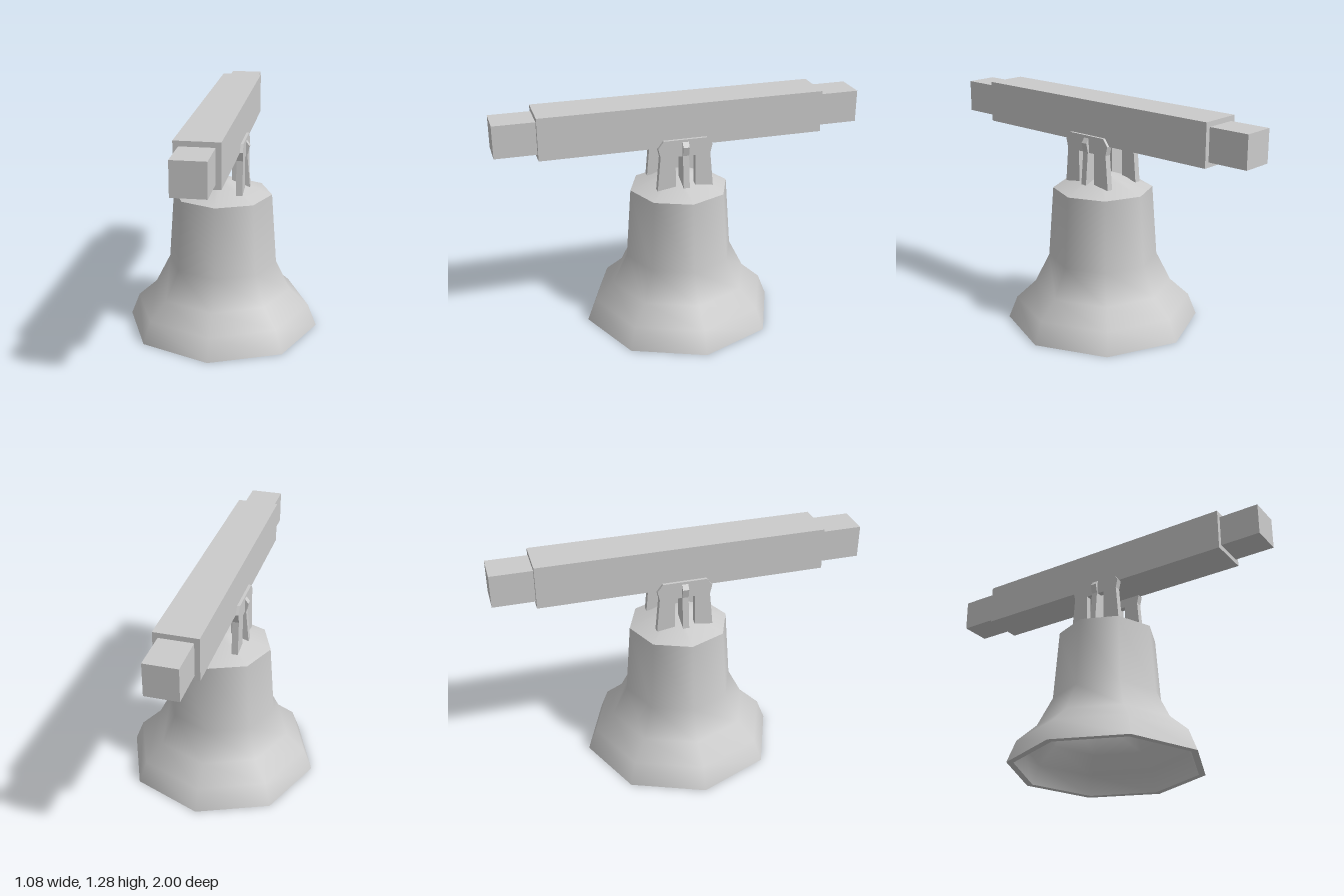
import * as THREE from 'three';

const material = new THREE.MeshStandardMaterial({ color: 0xcccccc });

function addMesh(parent, name, geometry) {
  const mesh = new THREE.Mesh(geometry, material);
  mesh.name = name;
  parent.add(mesh);
  return mesh;
}

// Eight-sided surface of revolution; [radius, height] pairs
function lathe(points) {
  return new THREE.LatheGeometry(points.map(([r, y]) => new THREE.Vector2(r, y)), 8);
}

// Two-legged hanger plate, waisted below its shoulders, centred on its thickness
function hangerGeometry(thickness) {
  const half = [
    [0.055, 0.825], [0.155, 0.81], [0.138, 1.0], [0.15, 1.05], [0.12, 1.09],
  ];
  const mirrored = half.map(([x, y]) => [-x, y]).reverse();
  const outline = [...half, ...mirrored, [-0.055, 0.997], [0.055, 0.997]];
  const shape = new THREE.Shape(outline.map(([x, y]) => new THREE.Vector2(x, y)));
  const geometry = new THREE.ExtrudeGeometry(shape, { depth: thickness, bevelEnabled: false });
  return geometry.translate(0, 0, -thickness / 2);
}

export function createModel() {
  const model = new THREE.Group();
  model.name = 'hangingBell';

  // Bell: separate surfaces keep the shoulder and rim edges sharp
  const bell = new THREE.Group();
  bell.name = 'bell';
  model.add(bell);
  addMesh(bell, 'bellWall', lathe([
    [0.54, 0], [0.492, 0.122], [0.386, 0.217], [0.304, 0.38], [0.275, 0.775],
  ]));
  addMesh(bell, 'bellShoulder', lathe([[0.275, 0.775], [0.06, 0.855], [0, 0.855]]));
  addMesh(bell, 'bellInside', lathe([
    [0, 0.81], [0.06, 0.81], [0.24, 0.745], [0.268, 0.37], [0.355, 0.195], [0.458, 0.105], [0.503, 0],
  ]));
  addMesh(bell, 'bellRim', lathe([[0.503, 0], [0.54, 0]]));

  // Crown: a plate on each side and one crossing between them
  const crown = new THREE.Group();
  crown.name = 'crown';
  model.add(crown);
  for (const side of [-1, 1]) {
    const plate = addMesh(crown, side > 0 ? 'leftHanger' : 'rightHanger', hangerGeometry(0.035));
    plate.rotation.y = Math.PI / 2;
    plate.position.x = side * 0.113;
  }
  addMesh(crown, 'crossHanger', hangerGeometry(0.034));

  // Beam with a narrower stub at each end
  addMesh(model, 'beam', new THREE.BoxGeometry(0.23, 0.23, 1.555)).position.y = 1.164;
  for (const end of [-1, 1]) {
    const stub = addMesh(model, end > 0 ? 'frontBeamEnd' : 'backBeamEnd',
      new THREE.BoxGeometry(0.176, 0.176, 0.2225));
    stub.position.set(0, 1.164, end * 0.88875);
  }
  return model;
}
